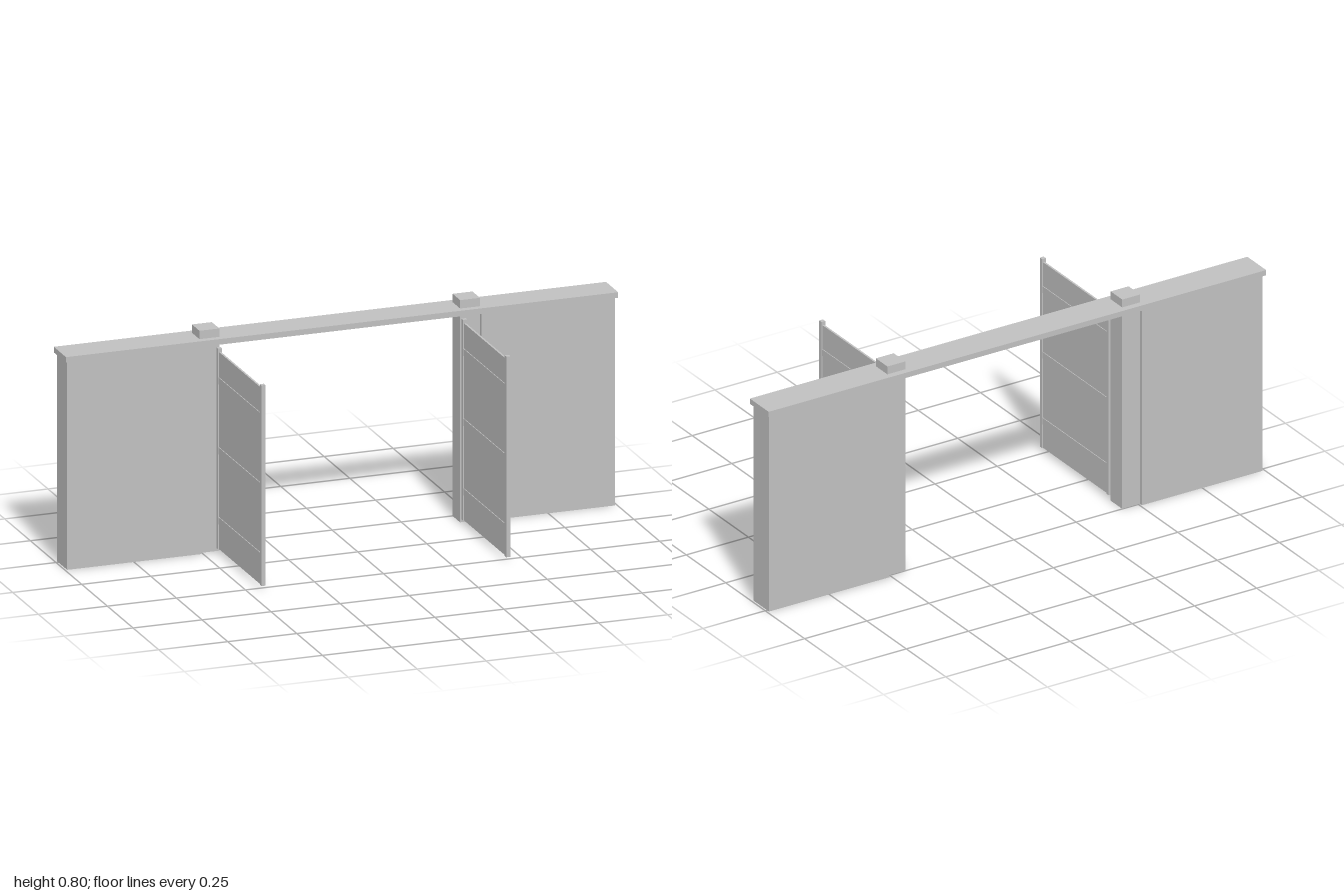
import * as THREE from 'three';

export function createModel() {
  const model = new THREE.Group();
  const grey = new THREE.MeshStandardMaterial({ color: 0xc0c0c0 });
  grey.name = 'plain grey';

  // Box given by its lower and upper bounds on each axis
  function box(parent, name, [x0, x1], [y0, y1], [z0, z1]) {
    const mesh = new THREE.Mesh(new THREE.BoxGeometry(x1 - x0, y1 - y0, z1 - z0), grey);
    mesh.position.set((x0 + x1) / 2, (y0 + y1) / 2, (z0 + z1) / 2);
    mesh.name = name;
    parent.add(mesh);
  }

  // Coping beam across both walls and the opening
  box(model, 'beam', [-1, 1], [0.745, 0.765], [-0.272, -0.153]);

  for (const side of [1, -1]) {
    const label = side > 0 ? 'left' : 'right';
    const span = (a, b) => (side > 0 ? [a, b] : [-b, -a]);

    // Wall, and the slimmer post beside the opening with its cap
    box(model, label + 'Wall', span(0.508, 0.992), [0, 0.745], [-0.262, -0.163]);
    box(model, label + 'Post', span(0.436, 0.508), [0, 0.745], [-0.249, -0.176]);
    box(model, label + 'PostCap', span(0.436, 0.508), [0.765, 0.795], [-0.249, -0.176]);

    // Gate leaf, swung open towards the front
    const gate = new THREE.Group();
    gate.name = label + 'Gate';
    model.add(gate);
    const centre = 0.4435;
    const thick = (t) => span(centre - t / 2, centre + t / 2);
    box(gate, 'hingeStile', thick(0.015), [0.015, 0.733], [-0.163, -0.148]);
    box(gate, 'outerStile', thick(0.015), [0.015, 0.733], [0.258, 0.273]);
    box(gate, 'panel', thick(0.007), [0.015, 0.72], [-0.148, 0.258]);
    for (const y of [0.105, 0.355, 0.605]) {
      box(gate, 'rail', thick(0.012), [y, y + 0.025], [-0.148, 0.258]);
    }
  }
  return model;
}
